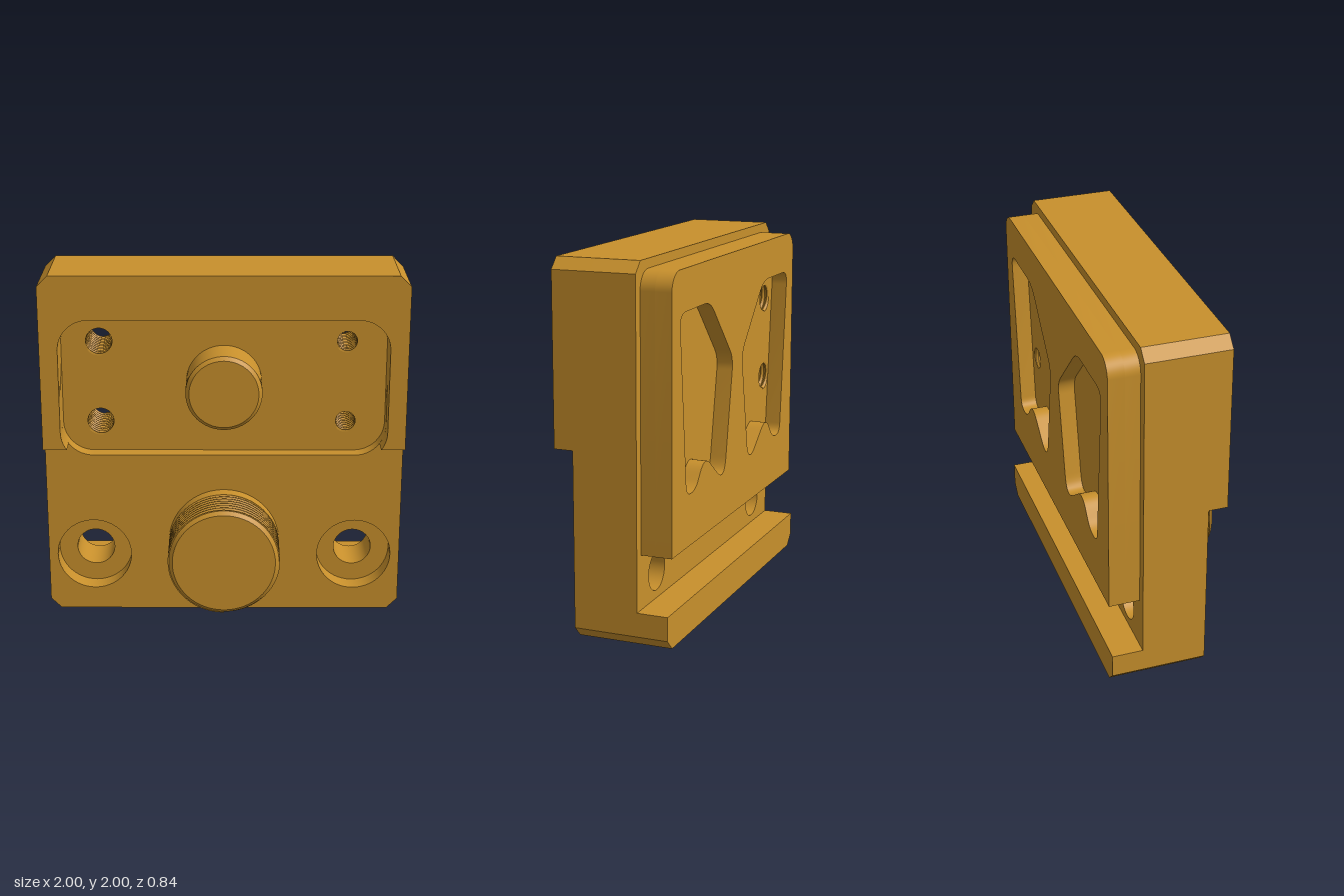
import * as THREE from 'three';
import { toCreasedNormals } from 'three/addons/utils/BufferGeometryUtils.js';

const V = (x, y) => new THREE.Vector2(x, y);
const brass = new THREE.MeshStandardMaterial({ color: 0xc8902c });
brass.name = 'ochre metal';

// Closed outline from corners [x, y, t]; t is the length trimmed for rounding
function rounded(corners) {
  const n = corners.length, pts = [];
  corners.forEach(([x, y, t = 0], i) => {
    const p = V(x, y);
    if (!t) { pts.push(p); return; }
    const toward = ([cx, cy]) => V(cx, cy).sub(p).setLength(t).add(p);
    const a = toward(corners[(i + n - 1) % n]), b = toward(corners[(i + 1) % n]);
    pts.push(...new THREE.QuadraticBezierCurve(a, p, b).getPoints(10));
  });
  return pts;
}

function circle(x, y, r) {
  return Array.from({ length: 48 }, (_, i) => {
    const a = i / 48 * Math.PI * 2;
    return V(x + r * Math.cos(a), y + r * Math.sin(a));
  });
}

// Points of a quarter arc starting at angle a0 and ending at a1
function arc(x, y, r, a0, a1) {
  return Array.from({ length: 13 }, (_, i) => {
    const a = a0 + (a1 - a0) * i / 12;
    return V(x + r * Math.cos(a), y + r * Math.sin(a));
  });
}

// Slab between two depths with holes through it
function slab(outline, holes, z0, z1) {
  const shape = new THREE.Shape(outline);
  shape.holes = holes.map(h => new THREE.Path(h));
  const geo = new THREE.ExtrudeGeometry(shape, { depth: z1 - z0, bevelEnabled: false });
  geo.translate(0, 0, z0);
  return toCreasedNormals(geo, 0.5);
}

// Turned part along z, profile given as [radius, z]
function turned(profile, y) {
  const geo = new THREE.LatheGeometry(profile.map(p => V(p[0], p[1])), 64);
  return toCreasedNormals(geo.rotateX(Math.PI / 2).translate(0, y, 0), 0.5);
}

// Helical thread: a toothed lathe whose rings climb one pitch per turn
function thread(crest, root, pitch, z0, z1, inward) {
  const pts = [], seg = 48;
  for (let z = z0 - pitch; z < z1 + pitch / 2; z += pitch) {
    pts.push(V(root, z), V(root, z + pitch * 0.1), V(crest, z + pitch * 0.5), V(crest, z + pitch * 0.6));
  }
  if (inward) pts.reverse();
  const geo = new THREE.LatheGeometry(pts, seg), pos = geo.attributes.position;
  for (let i = 0; i < pos.count; i++) {
    const y = pos.getY(i) + pitch * Math.floor(i / pts.length) / seg;
    pos.setY(i, THREE.MathUtils.clamp(y, z0, z1));
  }
  return toCreasedNormals(geo.rotateX(Math.PI / 2), 0.5);
}

export function createModel() {
  const model = new THREE.Group();
  const add = (name, geo) => {
    const mesh = new THREE.Mesh(geo, brass);
    mesh.name = name;
    model.add(mesh);
    return mesh;
  };

  // Depth levels from back to front
  const BACK = -0.42, POCKET = -0.33, STEP = -0.25, BORE = -0.005, RECESS = 0.02, LOWER = 0.105, FRONT = 0.21;
  const c = 0.06, PI = Math.PI;

  // Hole layout
  const screws = [];
  for (const y of [1.12, 1.585]) screws.push([-0.69, y, 0.073], [0.68, y, 0.055]);
  const gap = 0.011;
  const screwHoles = screws.map(([x, y, r]) => circle(x, y, r + gap));
  const mounts = r => [-0.74, 0.74].map(x => circle(x, 0.34, r));

  // Main body in layers
  const body = [V(-1 + c, 0), V(1 - c, 0), V(1, c), V(1, 2 - c), V(1 - c, 2), V(-1 + c, 2), V(-1, 2 - c), V(-1, c)];
  const R = 0.17, rx = 0.9 - R, top = 1.755 - R, low = 0.945 + R;
  const recess = [
    ...arc(rx, low, R, -PI / 2, 0), ...arc(rx, top, R, 0, PI / 2),
    ...arc(-rx, top, R, PI / 2, PI), ...arc(-rx, low, R, PI, PI * 1.5),
  ];
  add('bodyBack', slab(body, [...screwHoles, ...mounts(0.107)], STEP, BORE));
  add('bodyCounterbores', slab(body, [...screwHoles, ...mounts(0.21)], BORE, RECESS));
  add('bodyRecess', slab(body, [recess, ...mounts(0.21)], RECESS, LOWER));

  // Raised upper frame, open where the recess breaks through its lower edge
  const yEdge = 1.015, a = Math.asin((yEdge - low) / R);
  add('upperFrame', slab([
    V(1, yEdge), V(1, 2 - c), V(1 - c, 2), V(-1 + c, 2), V(-1, 2 - c), V(-1, yEdge),
    ...arc(-rx, low, R, PI - a, PI), ...arc(-rx, top, R, PI, PI / 2),
    ...arc(rx, top, R, PI / 2, 0), ...arc(rx, low, R, 0, a),
  ], [], LOWER, FRONT));

  // Rear plate with two mirrored pockets
  const w = 0.945, q = 0.1;
  const plate = [V(-w, 0.485), V(w, 0.485), ...arc(w - q, 1.95 - q, q, 0, PI / 2), ...arc(-w + q, 1.95 - q, q, PI / 2, PI)];
  const pockets = [1, -1].map(s => rounded([
    [0.84, 1.73, 0.08], [0.42, 1.73, 0.08], [0.07, 1.37, 0.07], [0.195, 0.7, 0.14],
    [0.49, 0.92, 0.1], [0.62, 0.765, 0.06], [0.745, 0.765, 0.06],
  ].map(([x, y, t]) => [s * x, y, t])));
  add('rearPlatePockets', slab(plate, pockets, BACK, POCKET));
  add('rearPlateFloor', slab(plate, screwHoles, POCKET, STEP));

  // Rear foot ledge below the channel
  add('rearLedge', slab([V(-1 + c, 0), V(1 - c, 0), V(1, c), V(1, 0.19), V(-1, 0.19), V(-1, c)], [], BACK, STEP));

  // Threads inside the screw holes
  screws.forEach(([x, y, r]) => {
    add('screwHoleThread', thread(r, r + gap, 0.03, POCKET, RECESS, true)).position.set(x, y, 0);
  });

  // Smooth upper boss
  add('upperBoss', turned([[0.21, RECESS], [0.21, 0.23], [0.19, 0.25], [0, 0.25]], 1.35));

  // Threaded lower port: shank, thread and chamfered end
  add('portShank', turned([[0.312, LOWER], [0.312, 0.18], [0, 0.18]], 0.425));
  add('portThread', thread(0.312, 0.29, 0.032, 0.175, 0.398, false)).position.y = 0.425;
  add('portEnd', turned([[0.27, 0.39], [0.305, 0.395], [0.305, 0.4], [0.285, 0.42], [0, 0.42]], 0.425));

  return model;
}
